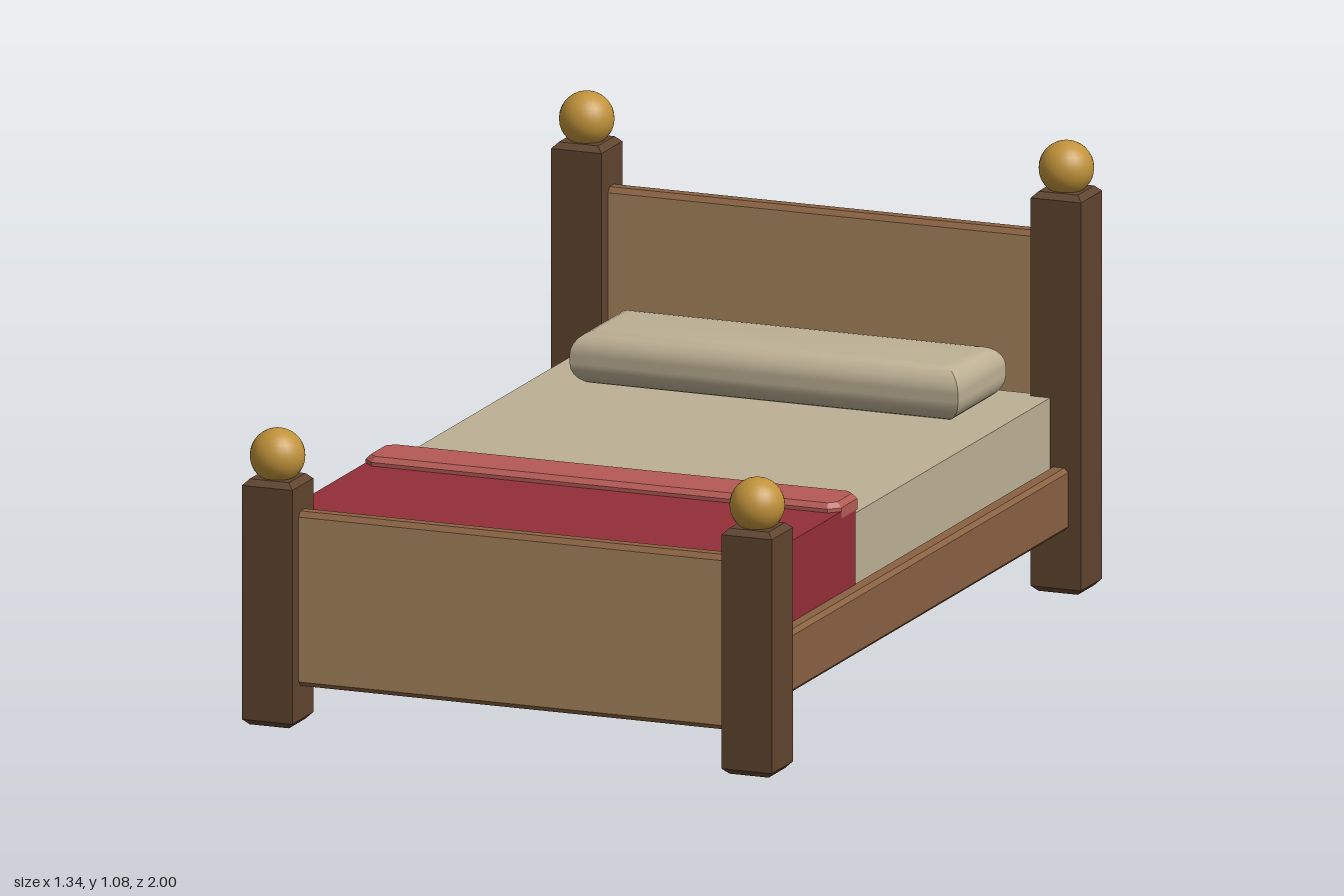
import * as THREE from 'three';
import { toCreasedNormals } from 'three/addons/utils/BufferGeometryUtils.js';

const mat = (name, color) => {
  const m = new THREE.MeshStandardMaterial({ color });
  m.name = name;
  return m;
};

// Box with bevelled rims on the two faces across the given axis.
// cut trims the four corners of the cross-section.
function bevelBox(w, h, d, axis, bevel, segments = 1, cut = 0) {
  const [a, b, depth] = axis === 'x' ? [d, h, w] : axis === 'y' ? [w, d, h] : [w, h, d];
  const x = a / 2 - bevel, y = b / 2 - bevel;
  const pts = cut
    ? [[x - cut, -y], [x, cut - y], [x, y - cut], [x - cut, y], [cut - x, y], [-x, y - cut], [-x, cut - y], [cut - x, -y]]
    : [[x, -y], [x, y], [-x, y], [-x, -y]];
  const geo = new THREE.ExtrudeGeometry(
    new THREE.Shape(pts.map(p => new THREE.Vector2(...p))),
    { depth: depth - 2 * bevel, bevelEnabled: true, bevelSize: bevel, bevelThickness: bevel, bevelSegments: segments });
  geo.translate(0, 0, bevel - depth / 2);
  if (axis === 'x') geo.rotateY(Math.PI / 2);
  if (axis === 'y') geo.rotateX(-Math.PI / 2);
  return geo;
}

export function createModel() {
  const group = new THREE.Group();
  group.name = 'bed';
  const postWood = mat('dark post wood', 0x60442f);
  const railWood = mat('rail wood', 0x8a6142);
  const panelWood = mat('panel wood', 0xa9875c);
  const gold = mat('gold knob', 0xc0923a);
  const linen = mat('linen', 0xbdb094);
  const red = mat('red blanket', 0x942e38);
  const pink = mat('blanket lining', 0xb55a55);

  const add = (name, geo, material, x, y, z) => {
    const mesh = new THREE.Mesh(geo, material);
    mesh.name = name;
    mesh.position.set(x, y, z);
    group.add(mesh);
  };

  // Head and foot ends: panel, two posts and their knobs
  for (const [end, z, postTop, panelTop] of [['head', -0.935, 0.96, 0.855], ['foot', 0.935, 0.59, 0.515]]) {
    const h = panelTop - 0.095;
    add(end + 'board', bevelBox(1.12, h, 0.05, 'z', 0.012), [panelWood, railWood], 0, 0.095 + h / 2, z);
    for (const [side, s] of [['Left', 1], ['Right', -1]]) {
      add(end + 'Post' + side, bevelBox(0.127, postTop, 0.127, 'y', 0.014), postWood, s * 0.605, postTop / 2, z);
      add(end + 'Knob' + side, new THREE.SphereGeometry(0.065, 24, 16), gold, s * 0.605, postTop + 0.05, z);
    }
  }

  // Side rails
  for (const [side, s] of [['Left', 1], ['Right', -1]]) {
    add('rail' + side, bevelBox(0.048, 0.15, 1.78, 'x', 0.01), railWood, s * 0.612, 0.23, 0);
  }

  // Mattress and pillow
  add('mattress', new THREE.BoxGeometry(1.18, 0.265, 1.8), linen, 0, 0.3375, 0.005);
  add('pillow', toCreasedNormals(bevelBox(0.98, 0.13, 0.29, 'y', 0.055, 6), 0.7), linen, 0, 0.532, -0.7);

  // Blanket with its lining turned back over the top edge
  add('blanket', new THREE.BoxGeometry(1.2, 0.195, 0.575), red, 0, 0.4025, 0.6175);
  add('blanketEdge', bevelBox(1.2, 0.2, 0.06, 'z', 0.03), pink, 0, 0.405, 0.33);
  add('blanketFold', bevelBox(1.2, 0.05, 0.147, 'y', 0.012, 1, 0.018), pink, 0, 0.496, 0.366);

  return group;
}
